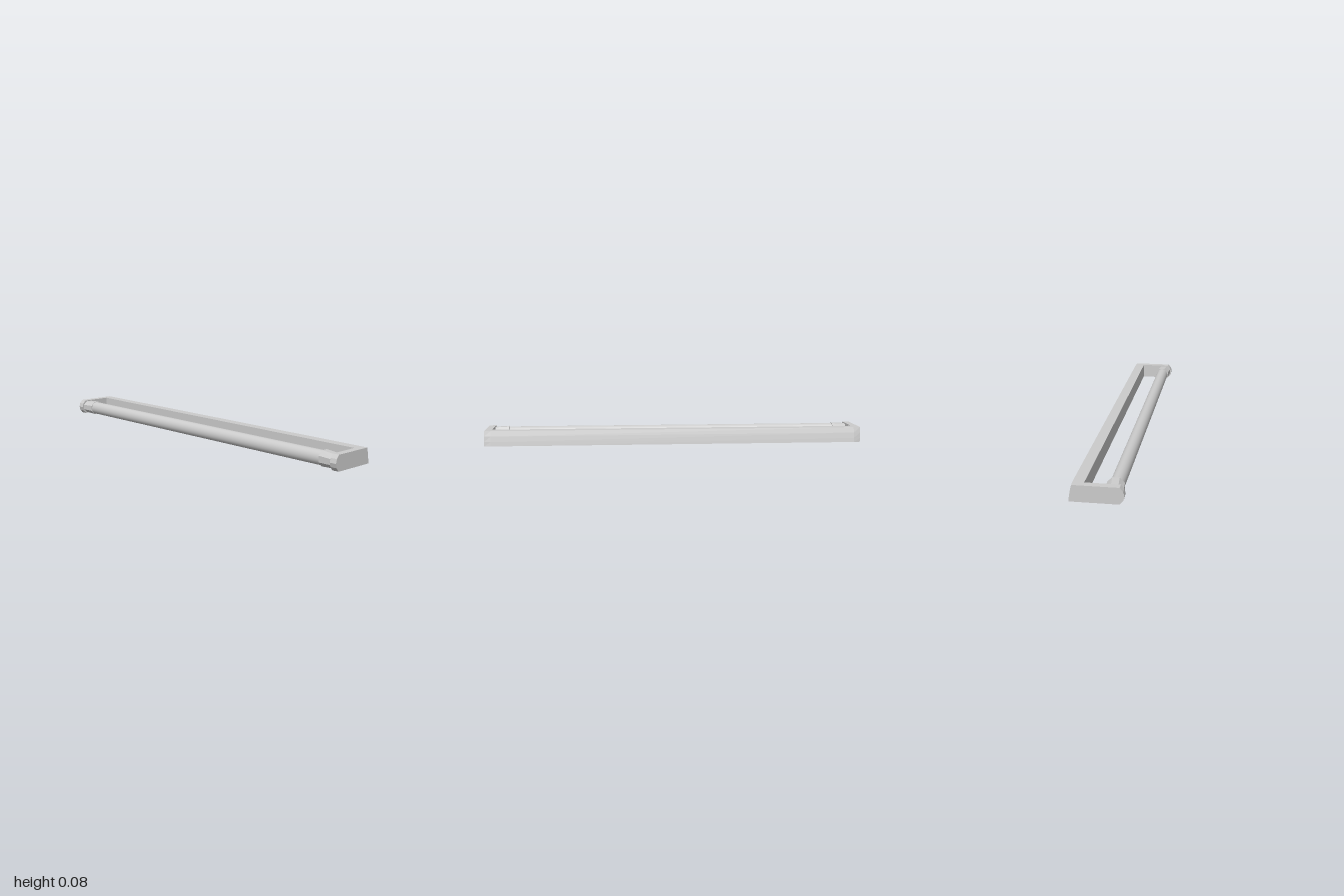
import * as THREE from 'three';

const H = 0.078; // overall height
const grey = (flat) => new THREE.MeshStandardMaterial({ color: 0xcccccc, flatShading: flat });

// gently bowed back edge, from the bottom up, as [z, y]
const BACK = [[-0.125, 0], [-0.121, 0.022], [-0.115, 0.05], [-0.107, H]];

// Prism with a [z, y] profile, running along x from x0 to x1
function prism(profile, x0, x1) {
  const shape = new THREE.Shape(profile.map(([z, y]) => new THREE.Vector2(-z, y)));
  const geo = new THREE.ExtrudeGeometry(shape, { depth: x1 - x0, bevelEnabled: false });
  return geo.rotateY(Math.PI / 2).translate(x0, 0, 0);
}

function add(group, name, geo, flat = true) {
  const mesh = new THREE.Mesh(geo, grey(flat));
  mesh.name = name;
  group.add(mesh);
}

// End plate with a rounded front and a slightly trimmed outer back corner
function endPlate(side) {
  const front = [[0.105, H], [0.12, 0.06], [0.126, 0.039], [0.12, 0.018], [0.105, 0]];
  const geo = prism([...BACK, ...front], side > 0 ? 0.965 : -1, side > 0 ? 1 : -0.965);
  const p = geo.attributes.position;
  for (let i = 0; i < p.count; i++) {
    if (Math.abs(p.getX(i)) > 0.99 && p.getZ(i) < -0.1) {
      p.setZ(i, p.getZ(i) + 0.002 + 0.004 * (1 - p.getY(i) / H));
    }
  }
  geo.computeVertexNormals();
  return geo;
}

// Eight-sided socket, widening and leaning back toward the tube
function socket(side) {
  const geo = new THREE.CylinderGeometry(1, 1, 1, 8, 1, false, Math.PI / 8);
  geo.rotateZ(-Math.PI / 2);
  const p = geo.attributes.position;
  const k = 1 / Math.cos(Math.PI / 8);
  for (let i = 0; i < p.count; i++) {
    const atPlate = p.getX(i) * side > 0;
    const ry = (atPlate ? 0.033 : 0.038) * k;
    const rz = (atPlate ? 0.039 : 0.04) * k;
    p.setXYZ(i, side * (atPlate ? 0.97 : 0.89), 0.039 + p.getY(i) * ry,
      (atPlate ? 0.078 : 0.071) + p.getZ(i) * rz);
  }
  geo.computeVertexNormals();
  return geo;
}

export function createModel() {
  const group = new THREE.Group();
  group.name = 'barHolder';

  // back rail
  add(group, 'backRail', prism([...BACK, [-0.055, H], [-0.055, 0]], -0.965, 0.965));

  // end plates and tube sockets
  for (const side of [1, -1]) {
    const label = side > 0 ? 'left' : 'right';
    add(group, label + 'EndPlate', endPlate(side));
    add(group, label + 'Socket', socket(side));
  }

  // long round tube held between the sockets
  const tube = new THREE.CylinderGeometry(1, 1, 1.8, 32).rotateZ(Math.PI / 2);
  tube.scale(1, 0.036, 0.033).translate(0, 0.039, 0.075);
  add(group, 'tube', tube, false);

  return group;
}
